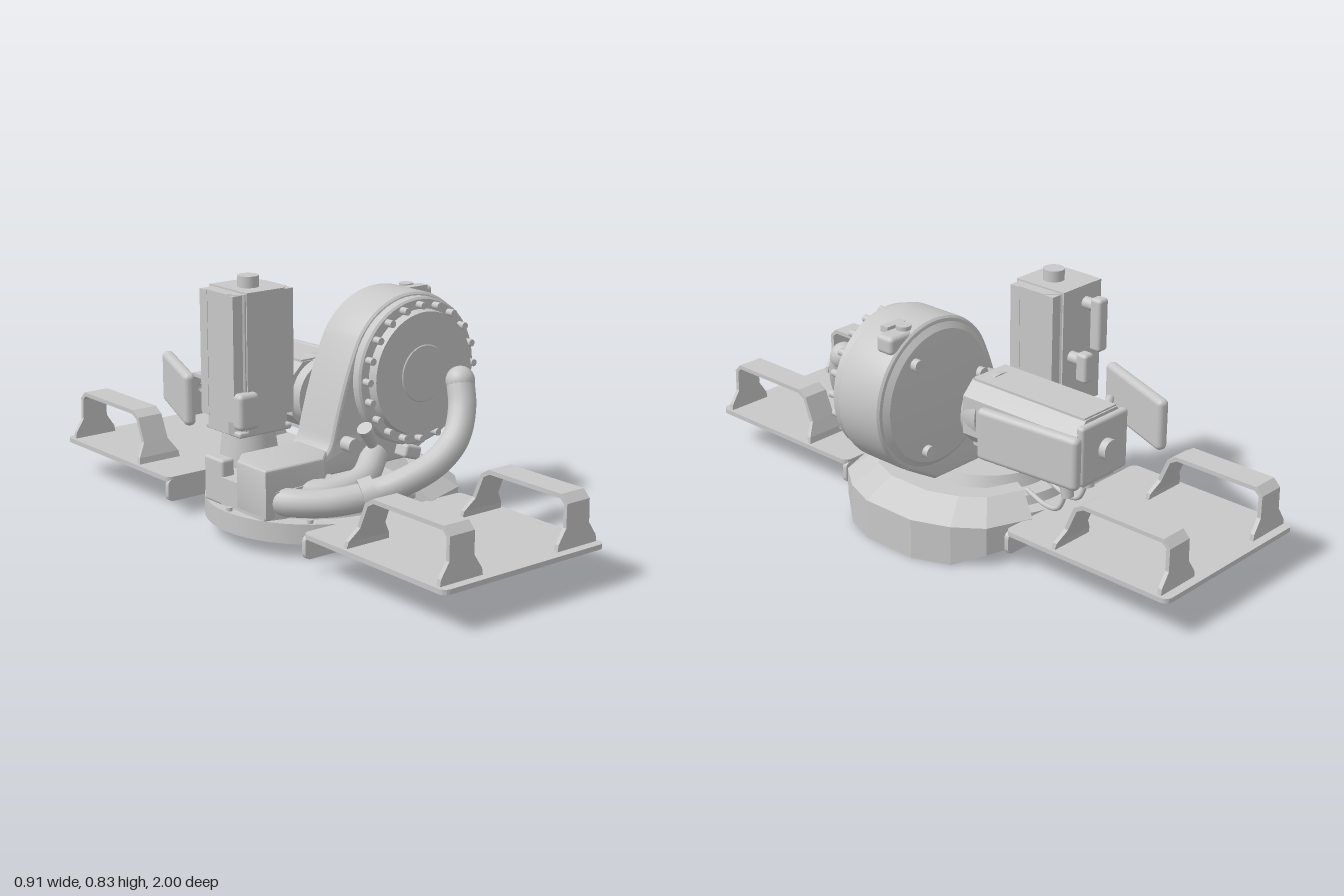
import * as THREE from 'three';
import { toCreasedNormals } from 'three/addons/utils/BufferGeometryUtils.js';
import { RoundedBoxGeometry } from 'three/addons/geometries/RoundedBoxGeometry.js';

const metal = new THREE.MeshStandardMaterial({ color: 0xc8c8c8, side: THREE.DoubleSide });
metal.name = 'plain light grey metal';

export function createModel() {
  const model = new THREE.Group();
  const V = (p) => new THREE.Vector3(...p);

  function add(name, geometry, x = 0, y = 0, z = 0, rx = 0, ry = 0, rz = 0, parent = model) {
    const mesh = new THREE.Mesh(geometry, metal);
    mesh.name = name;
    mesh.position.set(x, y, z);
    mesh.rotation.set(rx, ry, rz);
    parent.add(mesh);
    return mesh;
  }
  const box = (name, w, h, d, x, y, z) => add(name, new THREE.BoxGeometry(w, h, d), x, y, z);
  const rbox = (name, w, h, d, r, x, y, z, ry = 0, rz = 0) =>
    add(name, new RoundedBoxGeometry(w, h, d, 3, r), x, y, z, 0, ry, rz);
  const cyl = (name, r0, r1, h, x, y, z, rx = 0, rz = 0, n = 32) =>
    add(name, new THREE.CylinderGeometry(r0, r1, h, n), x, y, z, rx, 0, rz);
  const tube = (name, pts, r, n = 40) =>
    add(name, new THREE.TubeGeometry(new THREE.CatmullRomCurve3(pts.map(V)), n, r, 16));
  const extrude = (shape, depth, bevel = 0) => toCreasedNormals(new THREE.ExtrudeGeometry(shape, {
    depth, curveSegments: 32, bevelEnabled: bevel > 0, bevelSize: bevel, bevelThickness: bevel, bevelOffset: -bevel, bevelSegments: 3,
  }), 0.5);
  const polygon = (pts) => new THREE.Shape(pts.map((p) => new THREE.Vector2(...p)));

  // Flat-shaded skin over a row of closed rings, capped at both ends
  function loft(rings) {
    const out = [];
    const tri = (a, b, c) => out.push(...a, ...b, ...c);
    const n = rings[0].length;
    for (let i = 0; i < rings.length - 1; i++) {
      for (let j = 0; j < n; j++) {
        const k = (j + 1) % n, A = rings[i], B = rings[i + 1];
        tri(A[j], A[k], B[k]);
        tri(A[j], B[k], B[j]);
      }
    }
    const end = rings[rings.length - 1];
    for (let j = 1; j < n - 1; j++) {
      tri(rings[0][0], rings[0][j + 1], rings[0][j]);
      tri(end[0], end[j], end[j + 1]);
    }
    // Turn the skin outward if its volume comes out negative
    let volume = 0;
    for (let i = 0; i < out.length; i += 9) {
      volume += V(out.slice(i, i + 3)).dot(V(out.slice(i + 3, i + 6)).cross(V(out.slice(i + 6, i + 9))));
    }
    if (volume < 0) {
      for (let i = 0; i < out.length; i += 9) {
        for (let k = 0; k < 3; k++) [out[i + 3 + k], out[i + 6 + k]] = [out[i + 6 + k], out[i + 3 + k]];
      }
    }
    const g = new THREE.BufferGeometry();
    g.setAttribute('position', new THREE.Float32BufferAttribute(out, 3));
    g.computeVertexNormals();
    return g;
  }

  // Footplates with lip and two strap handles, front and back
  const rounded = (w, h, r) => {
    const s = new THREE.Shape(), a = w / 2, b = h / 2;
    s.absarc(a - r, b - r, r, 0, Math.PI / 2);
    s.absarc(r - a, b - r, r, Math.PI / 2, Math.PI);
    s.absarc(r - a, r - b, r, Math.PI, Math.PI * 1.5);
    s.absarc(a - r, r - b, r, Math.PI * 1.5, Math.PI * 2);
    return s;
  };
  // each row: outer z, outer y, inner z, inner y, half width
  const strap = [
    [0.97, 0.13, 0.956, 0.13, 0.082], [0.97, 0.155, 0.956, 0.155, 0.078], [0.97, 0.2, 0.956, 0.2, 0.048],
    [0.97, 0.275, 0.956, 0.272, 0.047], [0.945, 0.3, 0.94, 0.286, 0.047], [0.635, 0.3, 0.64, 0.286, 0.047],
    [0.602, 0.28, 0.614, 0.272, 0.047], [0.568, 0.2, 0.582, 0.197, 0.048], [0.55, 0.155, 0.564, 0.155, 0.078],
    [0.545, 0.13, 0.559, 0.13, 0.082],
  ];
  const strapGeometry = loft(strap.map(([z, y, zi, yi, w]) => [[-w, y, z], [w, y, z], [w, yi, zi], [-w, yi, zi]]));
  for (const side of [1, -1]) {
    const step = new THREE.Group();
    step.name = side > 0 ? 'frontFootplate' : 'backFootplate';
    add('plate', extrude(rounded(0.645, 0.64, 0.025), 0.016), -0.107, 0.118, side * 0.68, -Math.PI / 2, 0, 0, step);
    add('lip', extrude(rounded(0.645, 0.075, 0.02), 0.016), -0.107, 0.0875, side * 0.368 - 0.008, 0, 0, 0, step);
    for (const x of [-0.21, 0]) {
      add('lipBolt', new THREE.CylinderGeometry(0.012, 0.012, 0.02, 20), x, 0.075, side * 0.368, Math.PI / 2, 0, 0, step);
    }
    for (const x of [-0.337, 0.125]) {
      add('handle', strapGeometry, x, 0, 0, 0, side > 0 ? 0 : Math.PI, 0, step);
    }
    model.add(step);
  }

  // Turntable
  const cx = -0.105;
  cyl('turntableDisc', 0.352, 0.352, 0.065, cx, 0.0825, 0, 0, 0, 48);
  cyl('turntableHub', 0.095, 0.095, 0.02, cx, 0.043, 0);
  cyl('turntableRing', 0.29, 0.3, 0.03, cx, 0.13, 0, 0, 0, 48);
  cyl('turntableCore', 0.21, 0.23, 0.05, cx, 0.165, 0, 0, 0, 48);
  for (let i = 0; i < 5; i++) {
    const a = Math.PI * (0.72 + i * 0.14);
    cyl('discBolt', 0.01, 0.01, 0.012, cx + 0.335 * Math.cos(a), 0.12, 0.335 * Math.sin(a), 0, 0, 12);
  }

  // Faceted guard: x, z and bottom height of each corner
  const corners = [[0.08, 0.375, 0.05], [0.25, 0.315, 0.045], [0.325, 0.215, 0], [0.37, 0.1, 0], [0.37, -0.1, 0],
    [0.32, -0.225, 0], [0.25, -0.315, 0.04], [0.1, -0.375, 0.05]];
  add('facetedGuard', loft(corners.map(([x, z, y]) => {
    const at = (s, h) => [cx + (x - cx) * s, h, z * s];
    return [at(1, y), at(1, 0.135), at(0.8, 0.197), at(0.66, 0.197), at(0.66, 0.12), at(0.8, 0.05), at(0.86, y + 0.004)];
  })));

  // Large round housing with a foot running down to the turntable
  const outline = new THREE.Shape();
  outline.moveTo(0.2, 0.2);
  outline.lineTo(0.335, 0.279);
  outline.absarc(0.2, 0.5, 0.258, -1.02, 2.6);
  outline.quadraticCurveTo(-0.08, 0.52, -0.13, 0.32);
  outline.quadraticCurveTo(-0.145, 0.265, -0.2, 0.26);
  outline.lineTo(-0.2, 0.2);
  add('housing', extrude(outline, 0.15, 0.018), 0, 0, -0.035);
  const profile = (name, pts, z, dir) => add(name, toCreasedNormals(
    new THREE.LatheGeometry(pts.map((p) => new THREE.Vector2(...p)), 56), 0.4), 0.2, 0.5, z, dir * Math.PI / 2);
  profile('housingBackDome', [[0.25, 0], [0.22, 0.022], [0.12, 0.034], [0.03, 0.036], [0, 0.036]], -0.045, -1);
  profile('frontCover', [[0.245, 0], [0.245, 0.03], [0.238, 0.036], [0.207, 0.036], [0.203, 0.068],
    [0.095, 0.068], [0.092, 0.071], [0, 0.071]], 0.13, 1);
  for (let i = 0; i < 20; i++) {
    const a = (i / 20) * Math.PI * 2;
    cyl('coverBolt', 0.012, 0.012, 0.03, 0.2 + 0.222 * Math.cos(a), 0.5 + 0.222 * Math.sin(a), 0.18, Math.PI / 2, 0, 14);
  }
  for (let i = 0; i < 3; i++) {
    const a = 0.9 + (i * Math.PI * 2) / 3;
    cyl('domeBolt', 0.02, 0.02, 0.035, 0.2 + 0.18 * Math.cos(a), 0.5 + 0.18 * Math.sin(a), -0.075, Math.PI / 2, 0, 18);
  }
  rbox('housingLug', 0.12, 0.06, 0.07, 0.015, 0.328, 0.71, -0.01);
  cyl('lugPin', 0.024, 0.024, 0.014, 0.3, 0.747, -0.01);
  box('lugTab', 0.09, 0.02, 0.03, 0.3, 0.74, 0.03);

  // Bent outlet pipe with rounded end and clamp
  tube('outletPipe', [[-0.38, 0.175, 0.13], [-0.34, 0.17, 0.2], [-0.25, 0.172, 0.28], [-0.14, 0.19, 0.335], [-0.04, 0.232, 0.395],
    [0.05, 0.28, 0.427], [0.13, 0.345, 0.428], [0.18, 0.43, 0.402], [0.2, 0.51, 0.37]], 0.045, 64);
  add('pipeEnd', new THREE.SphereGeometry(0.047, 24, 16), 0.2, 0.51, 0.37);
  const clamp = cyl('pipeClamp', 0.057, 0.057, 0.045, -0.145, 0.19, 0.333);
  clamp.quaternion.setFromUnitVectors(new THREE.Vector3(0, 1, 0), V([0.1, 0.033, 0.055]).normalize());
  tube('innerDuct', [[-0.3, 0.18, 0.12], [-0.2, 0.18, 0.21], [-0.08, 0.2, 0.22], [0.04, 0.24, 0.14]], 0.045);

  // Side deck and its fittings
  add('sideDeck', extrude(polygon([[-0.43, 0.06], [-0.43, -0.17], [-0.36, -0.19], [-0.15, -0.17], [-0.1, 0.02],
    [-0.13, 0.22], [-0.28, 0.24]]), 0.09), 0, 0.12, 0, -Math.PI / 2);
  add('sideTank', extrude(polygon([[-0.43, -0.18], [-0.2, -0.18], [-0.13, -0.11], [-0.13, 0.03], [-0.37, 0.03],
    [-0.43, -0.03]]), 0.145, 0.01), 0, 0.13, 0, -Math.PI / 2);
  rbox('sideBox', 0.05, 0.15, 0.1, 0.01, -0.405, 0.19, -0.1);

  // Motor bodies: octagon with raised corner rails
  const body = (w, d, c) => {
    const a = w / 2, b = d / 2;
    return polygon([[a - c, -b], [a, c - b], [a, b - c], [a - c, b], [c - a, b], [-a, b - c], [-a, c - b], [c - a, -b]]);
  };
  add('uprightMotor', extrude(body(0.235, 0.19, 0.04), 0.455), -0.25, 0.33, -0.155, -Math.PI / 2);
  box('uprightMotorFace', 0.15, 0.46, 0.2, -0.247, 0.56, -0.155);
  for (const x of [-0.35, -0.15]) {
    for (const z of [-0.225, -0.085]) box('uprightMotorRail', 0.038, 0.41, 0.04, x, 0.578, z);
  }
  cyl('uprightMotorCap', 0.035, 0.035, 0.05, -0.25, 0.802, -0.145);
  rbox('uprightMotorFlange', 0.21, 0.02, 0.19, 0.008, -0.25, 0.33, -0.15);
  cyl('uprightMotorNeck', 0.085, 0.1, 0.12, -0.25, 0.265, -0.15);
  for (const [x, y, h] of [[-0.28, 0.67, 0.18], [-0.215, 0.54, 0.1]]) {
    cyl('uprightMotorPlug', 0.02, 0.02, 0.08, x, y + h / 2 - 0.03, -0.28, Math.PI / 2);
    rbox('plugElbow', 0.045, h, 0.045, 0.012, x, y, -0.312);
  }
  rbox('terminalCover', 0.08, 0.12, 0.05, 0.016, -0.33, 0.41, -0.055);

  add('rearMotor', extrude(body(0.235, 0.22, 0.045), 0.47), 0, 0.415, -0.56);
  box('rearMotorTop', 0.15, 0.235, 0.46, 0, 0.413, -0.325);
  rbox('rearMotorEndPlate', 0.22, 0.2, 0.03, 0.012, 0, 0.415, -0.565);
  cyl('rearMotorCap', 0.034, 0.034, 0.04, 0, 0.415, -0.585, Math.PI / 2);
  cyl('rearMotorMount', 0.115, 0.125, 0.09, 0, 0.41, -0.1, Math.PI / 2);
  for (const z of [-0.5, -0.38]) {
    cyl('rearMotorPlug', 0.018, 0.018, 0.06, -0.13, 0.44, z, 0, Math.PI / 2, 18);
    add('rearMotorPlugEnd', new THREE.SphereGeometry(0.028, 18, 12), -0.155, 0.44, z);
  }

  // Slanted side panels with struts
  rbox('leftPanel', 0.04, 0.175, 0.385, 0.018, 0.165, 0.415, -0.41, 0.08);
  rbox('rightPanel', 0.04, 0.175, 0.36, 0.018, -0.325, 0.41, -0.44, -0.39);
  box('leftPanelStrut', 0.08, 0.03, 0.03, 0.125, 0.415, -0.4);
  tube('rightPanelStrut', [[-0.12, 0.42, -0.5], [-0.2, 0.42, -0.42], [-0.29, 0.42, -0.36]], 0.014, 12);

  // Hanging plugs and hoses
  for (const x of [-0.05, 0.05]) {
    cyl('hangingPlug', 0.024, 0.02, 0.07, x, 0.265, -0.47, 0.15, 0, 16);
    tube('hose', [[x, 0.25, -0.47], [x, 0.18, -0.44], [x - 0.02, 0.155, -0.37], [x - 0.04, 0.17, -0.27]], 0.008, 24);
  }

  // Small fittings in front of the housing
  cyl('frontPort', 0.024, 0.024, 0.06, -0.075, 0.3, 0.15, Math.PI / 2);
  cyl('frontNozzle', 0.026, 0.018, 0.08, -0.01, 0.32, 0.17, 0.2, 0.6, 20);
  rbox('frontBracket', 0.07, 0.045, 0.07, 0.01, 0.17, 0.235, 0.15, 0, -0.3);
  rbox('bracketBase', 0.11, 0.02, 0.1, 0.006, 0.0, 0.148, 0.28);
  for (const x of [-0.03, 0.03]) cyl('bracketBolt', 0.011, 0.011, 0.03, x, 0.165, 0.28, 0, 0, 12);
  return model;
}
